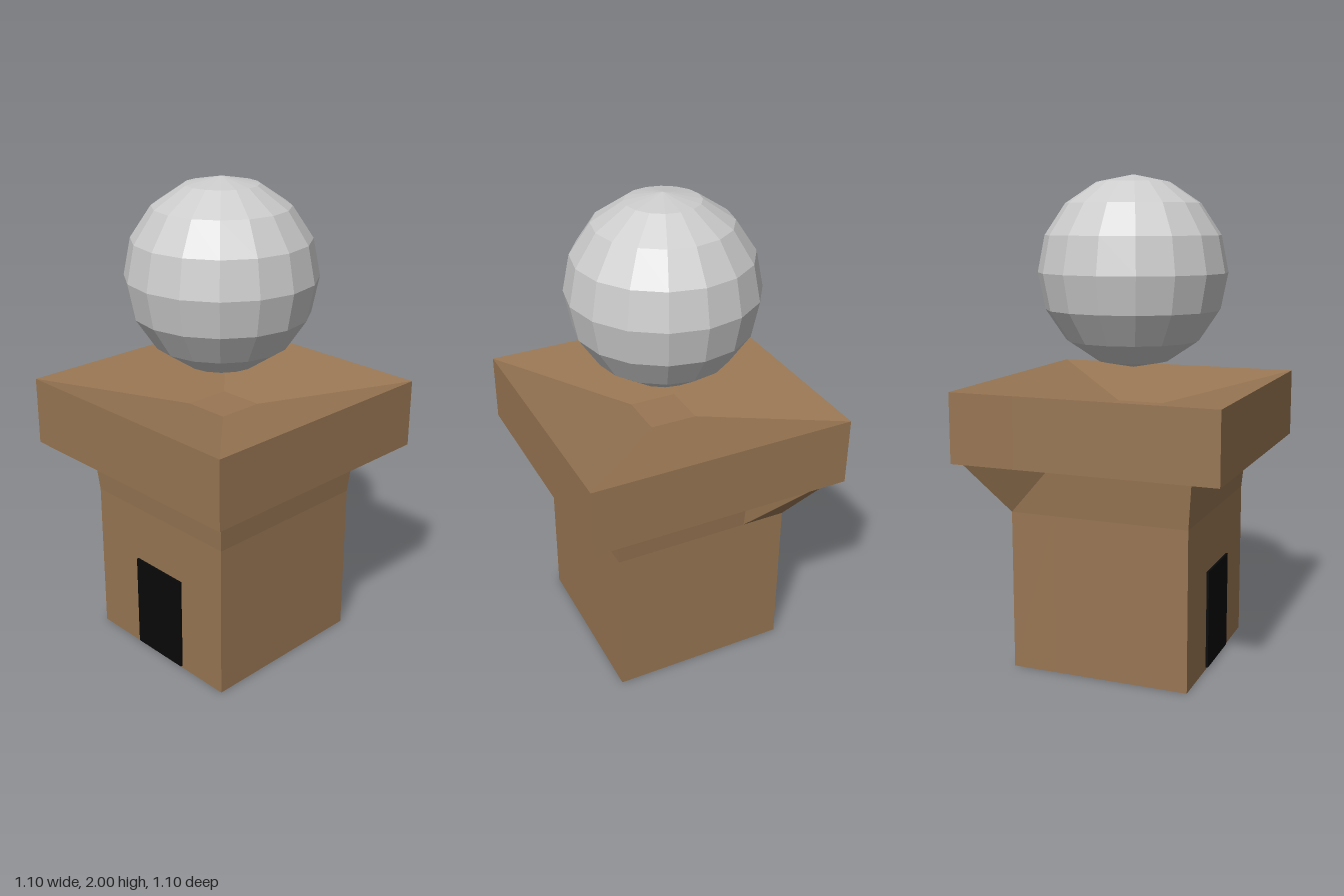
import * as THREE from 'three';

const brown = new THREE.MeshStandardMaterial({ color: 0x987653, flatShading: true });
const grey = new THREE.MeshStandardMaterial({ color: 0xcccccc, flatShading: true });
const black = new THREE.MeshStandardMaterial({ color: 0x080808 });

// Square cross-section at height y; the back left corner can be pulled out,
// starting at the split distance s along both adjoining sides.
function ring(y, half, corner = half, s = half / 2) {
  return [[half, -s], [corner, -corner], [s, -half], [-half, -half], [-half, half], [half, half]]
    .map(([x, z]) => [x, y, z]);
}

// Joins rings from bottom to top, optionally closing either end.
function loft(rings, closeBottom, closeTop) {
  const n = rings[0].length, index = [];
  for (let r = 0; r < rings.length - 1; r++) {
    for (let i = 0; i < n; i++) {
      const j = (i + 1) % n;
      const a = r * n + i, b = r * n + j, c = b + n, d = a + n;
      index.push(a, b, c, a, c, d);
    }
  }
  const top = (rings.length - 1) * n;
  for (let i = 1; i < n - 1; i++) {
    if (closeBottom) index.push(0, i + 1, i);
    if (closeTop) index.push(top, top + i, top + i + 1);
  }
  const g = new THREE.BufferGeometry();
  g.setAttribute('position', new THREE.Float32BufferAttribute(rings.flat(2), 3));
  g.setIndex(index);
  const flat = g.toNonIndexed();
  flat.computeVertexNormals();
  return flat;
}

export function createModel() {
  const model = new THREE.Group();
  const add = (name, geometry, material, x = 0, y = 0, z = 0) => {
    const mesh = new THREE.Mesh(geometry, material);
    mesh.name = name;
    mesh.position.set(x, y, z);
    model.add(mesh);
  };

  // Square column, flaring at the top with one bracket-like corner
  const neck = ring(0.862, 0.392, 0.515, 0.195);
  neck[1][1] = 0.873;
  add('column', loft([ring(0, 0.375, 0.375, 0.19), ring(0.66, 0.375, 0.375, 0.19), neck], true, false), brown);

  // Overhanging slab with a shallow dished top
  add('slab', loft([neck, ring(0.88, 0.549), ring(1.165, 0.549), ring(1.06, 0.1)], false, true), brown);

  // Faceted ball floating over the dish
  add('ball', new THREE.SphereGeometry(0.389, 16, 8), grey, -0.007, 1.612, -0.003);

  // Thin door panel on the right side
  add('door', new THREE.BoxGeometry(0.02, 0.41, 0.27), black, -0.375, 0.215, 0.005);

  return model;
}
